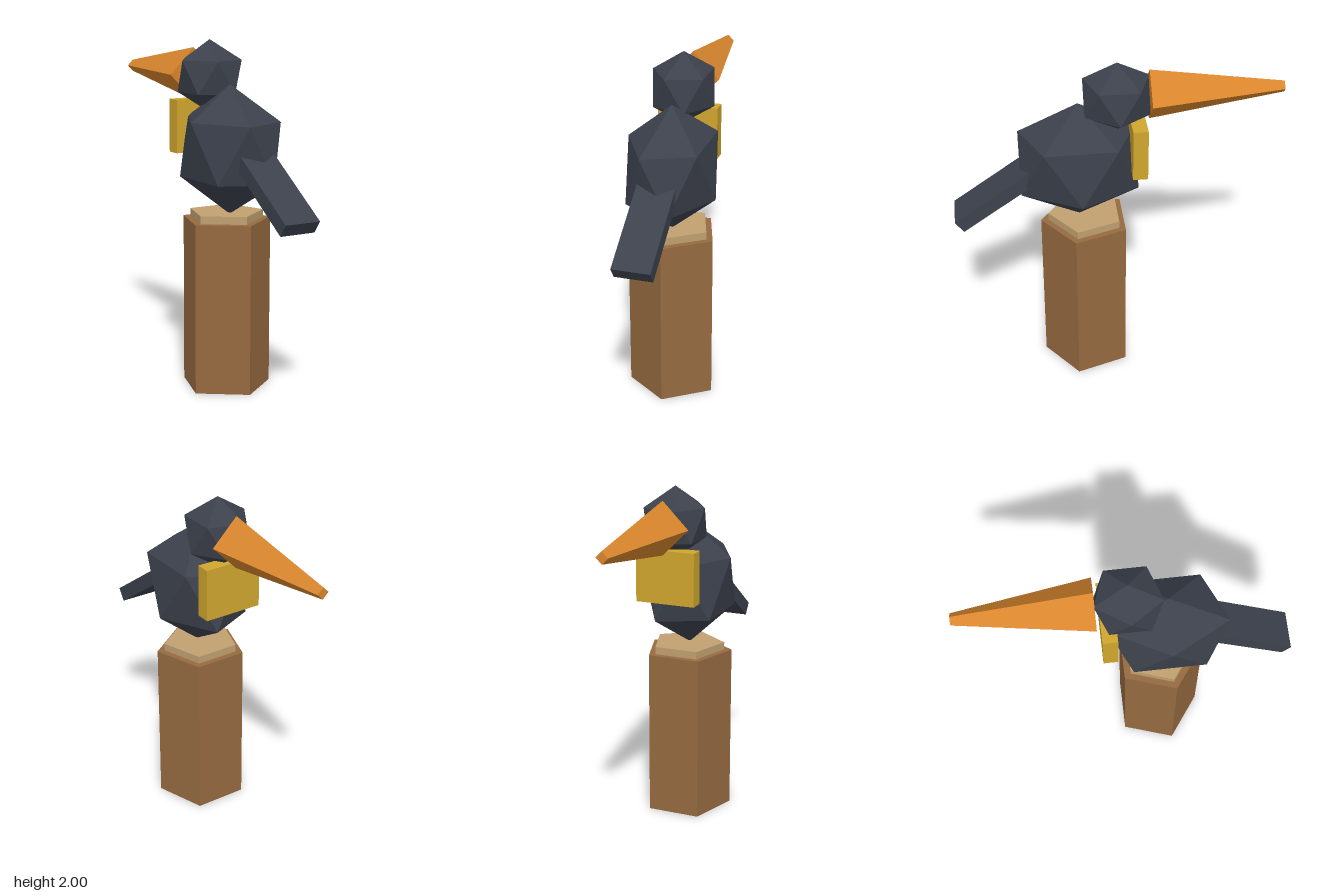
import * as THREE from 'three';
import { ConvexGeometry } from 'three/addons/geometries/ConvexGeometry.js';

const material = (name, color) => {
  const m = new THREE.MeshStandardMaterial({ color, flatShading: true });
  m.name = name;
  return m;
};

// Icosahedron standing on a corner, with its own radius on each axis
function gem(rx, ry, rz) {
  const points = [new THREE.Vector3(0, ry, 0), new THREE.Vector3(0, -ry, 0)];
  const h = 1 / Math.sqrt(5), ring = 2 * h;
  for (let i = 0; i < 5; i++) {
    const a = (i * Math.PI * 2) / 5;
    const c = ring * Math.cos(a), s = ring * Math.sin(a);
    points.push(new THREE.Vector3(-c * rx, h * ry, s * rz));
    points.push(new THREE.Vector3(c * rx, -h * ry, s * rz));
  }
  return new ConvexGeometry(points);
}

export function createModel() {
  const group = new THREE.Group();
  const wood = material('brown wood', 0x966a40);
  const cutWood = material('pale cut wood', 0xc0a070);
  const feathers = material('dark slate feathers', 0x3c414c);
  const orange = material('orange beak', 0xd9862d);
  const gold = material('gold throat', 0xd0a62e);

  const add = (name, geometry, mat, x, y, z) => {
    const mesh = new THREE.Mesh(geometry, mat);
    mesh.name = name;
    mesh.position.set(x, y, z);
    group.add(mesh);
    return mesh;
  };

  // Five-sided post with a thin sawn top
  add('post', new THREE.CylinderGeometry(0.265, 0.265, 0.985, 5), wood, 0, 0.4925, 0.18);
  add('postTop', new THREE.CylinderGeometry(0.221, 0.221, 0.05, 5), cutWood, 0, 1.005, 0.18);

  // Bird, facing -z
  add('body', gem(0.285, 0.37, 0.394), feathers, 0, 1.39, 0.22);
  add('head', gem(0.201, 0.21, 0.219), feathers, 0, 1.79, 0);
  add('throatPatch', new THREE.BoxGeometry(0.355, 0.31, 0.085), gold, 0, 1.5, -0.113);

  // Tapered four-sided beak
  const beak = add('beak', new THREE.CylinderGeometry(0.035, 0.155, 0.76, 4), orange, 0, 1.79, -0.56);
  beak.rotation.x = -Math.PI / 2;

  // Tail slopes down and back from inside the body
  const slope = THREE.MathUtils.degToRad(35), length = 0.58;
  const tail = add('tail', new THREE.BoxGeometry(0.22, 0.083, length), feathers,
    0, 1.053 + Math.sin(slope) * length / 2, 0.917 - Math.cos(slope) * length / 2);
  tail.rotation.x = slope;

  return group;
}
